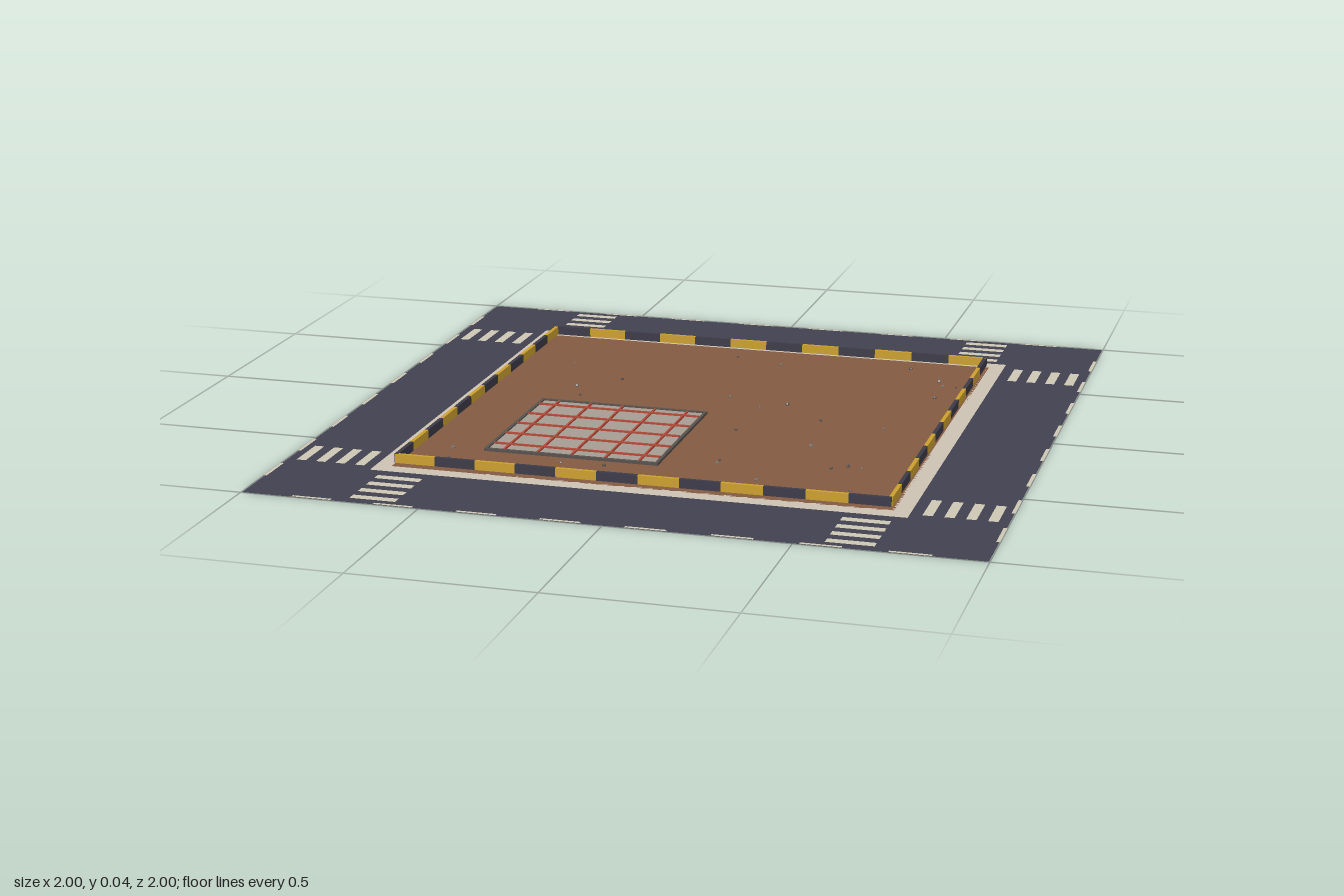
import * as THREE from 'three';

export function createModel() {
  const root = new THREE.Group();
  root.name = 'constructionLot';

  const mat = (name, color, side = THREE.FrontSide) => {
    const m = new THREE.MeshStandardMaterial({ color, side });
    m.name = name;
    return m;
  };
  const asphalt = mat('asphalt', 0x42414f, THREE.DoubleSide);
  const paint = mat('roadPaint', 0xcdc6b4);
  const pavement = mat('pavement', 0xccc2b3);
  const dirt = mat('dirt', 0x825a40);
  const yellow = mat('barrierYellow', 0xcb9f2e);
  const dark = mat('barrierDark', 0x3c3a48);
  const concrete = mat('concrete', 0xa59d93);
  const formwork = mat('formwork', 0x57514d);
  const rust = mat('rebarRust', 0xb34a38);
  const stone = mat('stone', 0x77736f);

  // horizontal sheet facing up
  const sheet = (parent, name, m, w, d, x, y, z) => {
    const mesh = new THREE.Mesh(new THREE.PlaneGeometry(w, d).rotateX(-Math.PI / 2), m);
    mesh.name = name;
    mesh.position.set(x, y, z);
    parent.add(mesh);
  };
  // box given by its centre and its lower face
  const box = (parent, name, m, w, h, d, x, y, z) => {
    const mesh = new THREE.Mesh(new THREE.BoxGeometry(w, h, d), m);
    mesh.name = name;
    mesh.position.set(x, y + h / 2, z);
    parent.add(mesh);
  };

  // ground layers
  sheet(root, 'road', asphalt, 1.995, 1.995, 0, 0, 0);
  sheet(root, 'dirtLot', dirt, 1.39, 1.39, 0, 0.004, 0);
  const square = (r) => [[-r, -r], [r, -r], [r, r], [-r, r]].map((p) => new THREE.Vector2(...p));
  const ring = new THREE.Shape(square(0.74));
  ring.holes.push(new THREE.Path(square(0.69)));
  const sidewalk = new THREE.Mesh(new THREE.ShapeGeometry(ring).rotateX(-Math.PI / 2), pavement);
  sidewalk.name = 'sidewalk';
  sidewalk.position.y = 0.004;
  root.add(sidewalk);

  // each side repeats as a quarter turn: crossings, edge dashes and barrier
  for (let s = 0; s < 4; s++) {
    const side = new THREE.Group();
    side.name = 'lotSide' + s;
    side.rotation.y = s * Math.PI / 2;
    root.add(side);
    for (const x of [-0.64, 0.64])
      for (let i = 0; i < 4; i++)
        sheet(side, 'crossingStripe', paint, 0.128, 0.027, x, 0.002, 0.785 + i * 0.057);
    for (let i = 0; i < 8; i++)
      sheet(side, 'edgeDash', paint, 0.11, 0.01, -0.8 + i * 0.2286, 0.002, 0.995);
    const len = 1.374 / 12;
    for (let i = 0; i < 12; i++)
      box(side, 'barrierPanel', i % 2 ? dark : yellow, len, 0.025, 0.011,
        -0.687 + (i + 0.5) * len, 0.012, 0.684);
  }

  // concrete foundation with formwork edges and a rebar grid
  const slab = new THREE.Group();
  slab.name = 'foundation';
  slab.position.set(-0.25, 0.004, 0.25);
  root.add(slab);
  box(slab, 'concreteSlab', concrete, 0.49, 0.004, 0.49, 0, 0, 0);
  for (const k of [-1, 1]) {
    box(slab, 'formBoard', formwork, 0.5, 0.008, 0.009, 0, 0, k * 0.2455);
    box(slab, 'formBoard', formwork, 0.009, 0.008, 0.482, k * 0.2455, 0, 0);
  }
  for (let i = -2; i <= 2; i++) {
    box(slab, 'rebar', rust, 0.006, 0.005, 0.48, i * 0.097, 0.004, 0);
    box(slab, 'rebar', rust, 0.48, 0.005, 0.006, 0, 0.0055, i * 0.097);
  }

  // scattered stones, as x, z pairs
  const stones = [
    [-0.07, -0.6], [0.08, -0.55], [0.47, -0.61], [-0.53, -0.4], [-0.34, -0.27], [-0.45, -0.17],
    [-0.41, -0.08], [0.02, -0.18], [0.2, -0.15], [0.13, -0.1], [0.33, -0.02], [0.58, -0.5],
    [0.64, -0.45], [0.6, -0.45], [0.6, -0.33], [0.52, 0.01], [0.12, 0.13], [0.36, 0.22],
    [0.15, 0.41], [0.15, 0.44], [0.5, 0.37], [0.54, 0.38], [0.46, 0.4], [0.29, 0.55],
    [0.55, 0.57], [0.17, 0.62], [-0.14, 0.54], [-0.26, 0.55], [-0.57, 0.59], [-0.59, 0.5],
  ];
  stones.forEach(([x, z], i) => {
    const r = 0.004 + (i % 3) * 0.001;
    const mesh = new THREE.Mesh(new THREE.DodecahedronGeometry(r), i % 2 ? stone : formwork);
    mesh.name = 'stone';
    mesh.position.set(x, 0.006, z);
    mesh.rotation.y = i;
    root.add(mesh);
  });

  return root;
}
